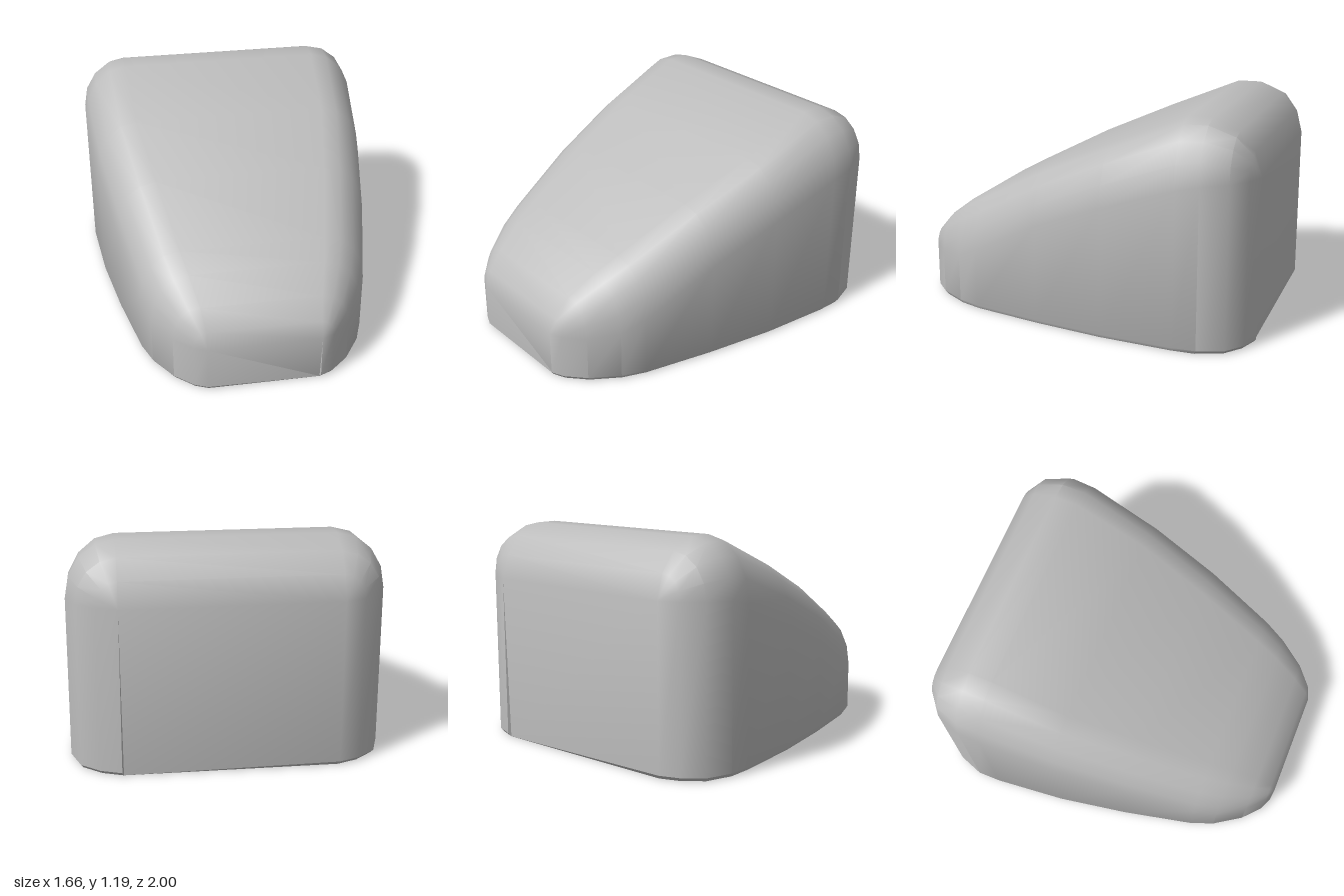
import * as THREE from 'three';
import { toCreasedNormals } from 'three/addons/utils/BufferGeometryUtils.js';

// Cross-sections back to front: z, half width, wall height, flat-top half width, top height
const SECTIONS = [
  [-1, 0.57, 0.9, 0.57, 0.9],
  [-0.96, 0.68, 0.9, 0.57, 1.03],
  [-0.88, 0.78, 0.9, 0.57, 1.13],
  [-0.74, 0.83, 0.89, 0.57, 1.19],
  [-0.61, 0.83, 0.86, 0.57, 1.19],
  [-0.2, 0.79, 0.72, 0.55, 1.02],
  [0.2, 0.72, 0.56, 0.48, 0.845],
  [0.6, 0.63, 0.35, 0.4, 0.64],
  [0.73, 0.58, 0.29, 0.37, 0.57],
  [0.88, 0.48, 0.27, 0.33, 0.46],
  [0.97, 0.38, 0.27, 0.31, 0.36],
  [1, 0.31, 0.27, 0.31, 0.27],
];
const ARC_STEPS = 4;
const BASE_INSET = 0.985;

// One closed ring, counter-clockwise seen from the front
function sectionRing([z, half, wall, flat, top]) {
  const side = [
    new THREE.Vector3(half * BASE_INSET, 0, z * BASE_INSET),
    new THREE.Vector3(half, 0.02, z),
  ];
  for (let i = 0; i <= ARC_STEPS; i++) {
    const a = (i / ARC_STEPS) * Math.PI / 2;
    side.push(new THREE.Vector3(
      flat + (half - flat) * Math.cos(a),
      wall + (top - wall) * Math.sin(a),
      z,
    ));
  }
  const mirrored = side.map((p) => new THREE.Vector3(-p.x, p.y, p.z)).reverse();
  return [...side, ...mirrored];
}

function wedgeGeometry() {
  const rings = SECTIONS.map(sectionRing);
  const n = rings[0].length;
  const positions = [];
  const ab = new THREE.Vector3();
  const ac = new THREE.Vector3();
  const tri = (a, b, c) => {
    ab.subVectors(b, a);
    ac.subVectors(c, a);
    if (ab.cross(ac).length() < 1e-7) return; // collapsed corners
    for (const p of [a, b, c]) positions.push(p.x, p.y, p.z);
  };

  // Skin between neighbouring rings, including the underside
  for (let s = 0; s < rings.length - 1; s++) {
    const back = rings[s];
    const front = rings[s + 1];
    for (let i = 0; i < n; i++) {
      const j = (i + 1) % n;
      tri(front[i], back[i], back[j]);
      tri(front[i], back[j], front[j]);
    }
  }

  // Flat front and back faces
  const first = rings[0];
  const last = rings[rings.length - 1];
  for (let i = 1; i < n - 1; i++) {
    tri(last[0], last[i], last[i + 1]);
    tri(first[0], first[i + 1], first[i]);
  }

  const geometry = new THREE.BufferGeometry();
  geometry.setAttribute('position', new THREE.Float32BufferAttribute(positions, 3));
  return toCreasedNormals(geometry, 0.6);
}

export function createModel() {
  const grey = new THREE.MeshStandardMaterial({ color: 0xbcbcbc });
  grey.name = 'light grey';

  const body = new THREE.Mesh(wedgeGeometry(), grey);
  body.name = 'roundedWedgeBody';

  const model = new THREE.Group();
  model.name = 'roundedWedge';
  model.add(body);
  return model;
}
